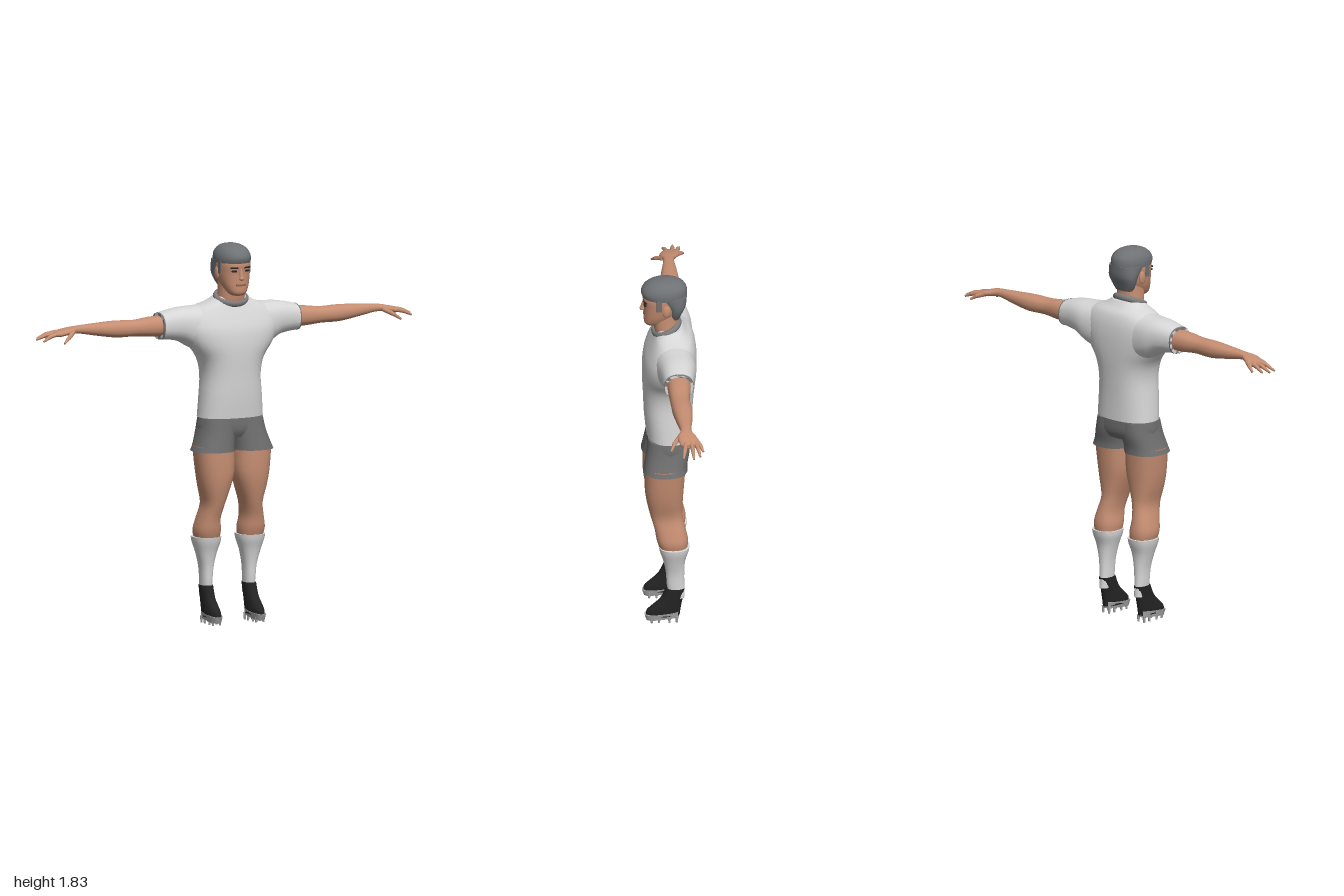
import * as THREE from 'three';

const paint = (name, color) => {
  const m = new THREE.MeshStandardMaterial({ color });
  m.name = name;
  return m;
};

// Catmull-Rom value between p1 and p2
const spline = (p0, p1, p2, p3, t) =>
  0.5 * (2 * p1 + (p2 - p0) * t + (2 * p0 - 5 * p1 + 4 * p2 - p3) * t * t + (3 * p1 - p0 - 3 * p2 + p3) * t * t * t);

// Loft through rows [t, aMin, aMax, bMax, bMin].
// Upright: t = y, a = x, b = z.  Sideways: t = x, a = z, b = y.
function loft(rows, { sideways = false, sides = 24, steps = 3, power = 0.85 } = {}) {
  const fine = [];
  for (let i = 0; i < rows.length - 1; i++) {
    const q = [rows[Math.max(i - 1, 0)], rows[i], rows[i + 1], rows[Math.min(i + 2, rows.length - 1)]];
    for (let s = 0; s < steps; s++) fine.push(rows[i].map((_, k) => spline(q[0][k], q[1][k], q[2][k], q[3][k], s / steps)));
  }
  fine.push(rows[rows.length - 1]);

  const pos = [], idx = [];
  const put = (t, a, b) => (sideways ? pos.push(t, b, a) : pos.push(a, t, b));
  const bend = (v) => Math.sign(v) * Math.abs(v) ** power;
  const ring = ([t, a0, a1, b1, b0]) => {
    for (let j = 0; j < sides; j++) {
      const u = (j / sides) * Math.PI * 2;
      put(t, (a0 + a1) / 2 + ((a1 - a0) / 2) * bend(Math.cos(u)), (b0 + b1) / 2 + ((b1 - b0) / 2) * bend(Math.sin(u)));
    }
  };
  fine.forEach(ring);
  for (let i = 0; i < fine.length - 1; i++) {
    for (let j = 0; j < sides; j++) {
      const a = i * sides + j, b = i * sides + ((j + 1) % sides);
      idx.push(a, a + sides, b, b, a + sides, b + sides);
    }
  }
  // flat end caps with their own corners
  [fine[0], fine[fine.length - 1]].forEach((row, end) => {
    const base = pos.length / 3;
    ring(row);
    put(row[0], (row[1] + row[2]) / 2, (row[3] + row[4]) / 2);
    for (let j = 0; j < sides; j++) {
      const a = base + j, b = base + ((j + 1) % sides), c = base + sides;
      end ? idx.push(a, c, b) : idx.push(a, b, c);
    }
  });
  const g = new THREE.BufferGeometry();
  g.setAttribute('position', new THREE.Float32BufferAttribute(pos, 3));
  g.setIndex(idx);
  g.computeVertexNormals();
  return g;
}

function mirrored(geo) {
  const g = geo.clone().scale(-1, 1, 1);
  const ix = g.index.array;
  for (let i = 0; i < ix.length; i += 3) [ix[i], ix[i + 1]] = [ix[i + 1], ix[i]];
  g.computeVertexNormals();
  return g;
}

// Tapered finger segment between two points
function segment(p, q, r0, r1) {
  const a = new THREE.Vector3(...p), b = new THREE.Vector3(...q), d = b.clone().sub(a);
  const g = new THREE.CylinderGeometry(r1, r0, d.length(), 8);
  g.applyQuaternion(new THREE.Quaternion().setFromUnitVectors(new THREE.Vector3(0, 1, 0), d.normalize()));
  const m = a.add(b).multiplyScalar(0.5);
  return g.translate(m.x, m.y, m.z);
}

export function createModel() {
  const model = new THREE.Group();
  model.name = 'footballer';
  const skin = paint('skin', 0xc68e72);
  const lip = paint('lip', 0x96604e);
  const shirt = paint('shirt white', 0xd6d6d6);
  const sock = paint('sock white', 0xdadada);
  const shorts = paint('shorts grey', 0x6e6e6e);
  const trim = paint('trim grey', 0x7c7c7c);
  const hair = paint('hair grey', 0x6f7275);
  const black = paint('boot black', 0x232323);
  const sole = paint('sole grey', 0xa6a6a6);

  const add = (name, geo, mat) => {
    const m = new THREE.Mesh(geo, mat);
    m.name = name;
    model.add(m);
  };
  const pair = (name, geo, mat) => {
    add('left ' + name, geo, mat);
    add('right ' + name, mirrored(geo), mat);
  };
  const sym = (rows) => rows.map(([y, w, f, b]) => [y, -w, w, f, b]);
  const ball = (x, y, z, sx, sy, sz) => new THREE.SphereGeometry(1, 14, 10).scale(sx, sy, sz).translate(x, y, z);

  // Shirt
  add('shirt body', loft(sym([
    [0.995, 0.163, 0.106, -0.112], [1.1, 0.154, 0.116, -0.115], [1.2, 0.147, 0.12, -0.122], [1.28, 0.165, 0.124, -0.13],
    [1.35, 0.215, 0.124, -0.135], [1.42, 0.245, 0.115, -0.136], [1.48, 0.235, 0.092, -0.13], [1.525, 0.185, 0.072, -0.115],
    [1.55, 0.12, 0.062, -0.09], [1.575, 0.08, 0.052, -0.07]]), { sides: 32 }), shirt);
  pair('sleeve', loft([
    [0.12, -0.12, 0.08, 1.54, 1.3], [0.2, -0.125, 0.065, 1.533, 1.33], [0.26, -0.118, 0.052, 1.53, 1.365],
    [0.32, -0.108, 0.042, 1.52, 1.378], [0.368, -0.102, 0.035, 1.508, 1.382]], { sideways: true }), shirt);
  pair('sleeve trim', loft([
    [0.362, -0.104, 0.037, 1.511, 1.38], [0.368, -0.103, 0.036, 1.509, 1.381]], { sideways: true, steps: 1 }), trim);
  add('collar', new THREE.TorusGeometry(0.076, 0.013, 10, 32).rotateX(Math.PI / 2).scale(1, 1.2, 0.87)
    .rotateX(0.42).translate(0, 1.567, 0.008), trim);

  // Arms and hands
  pair('arm', loft([
    [0.33, -0.092, 0.024, 1.497, 1.395], [0.42, -0.086, 0.021, 1.493, 1.399], [0.5, -0.078, 0.016, 1.484, 1.406],
    [0.6, -0.086, 0.01, 1.486, 1.406], [0.7, -0.08, -0.004, 1.481, 1.421], [0.8, -0.07, -0.018, 1.475, 1.438],
    [0.85, -0.092, -0.002, 1.467, 1.434], [0.895, -0.106, -0.012, 1.455, 1.425], [0.915, -0.098, -0.026, 1.448, 1.428]],
    { sideways: true, sides: 18 }), skin);
  const fingers = [
    [[0.87, 1.445, -0.09], [0.9, 1.434, -0.108], [0.93, 1.415, -0.121]],
    [[0.89, 1.445, -0.085], [0.94, 1.435, -0.097], [0.98, 1.418, -0.104]],
    [[0.89, 1.445, -0.065], [0.95, 1.435, -0.07], [1.0, 1.416, -0.073]],
    [[0.89, 1.445, -0.04], [0.945, 1.432, -0.032], [0.985, 1.412, -0.024]],
    [[0.83, 1.45, -0.018], [0.868, 1.428, 0.014], [0.902, 1.403, 0.032]]];
  for (const [a, b, c] of fingers) {
    pair('finger base', segment(a, b, 0.012, 0.01), skin);
    pair('finger knuckle', ball(...b, 0.01, 0.01, 0.01), skin);
    pair('finger tip', segment(b, c, 0.01, 0.005), skin);
  }

  // Shorts
  add('shorts seat', loft(sym([
    [0.9, 0.15, 0.085, -0.088], [0.94, 0.168, 0.102, -0.106], [1.005, 0.158, 0.1, -0.106]])), shorts);
  pair('shorts leg', loft([
    [0.835, 0.002, 0.205, 0.124, -0.088], [0.87, 0.0, 0.19, 0.118, -0.088], [0.93, -0.01, 0.17, 0.108, -0.1],
    [0.99, -0.02, 0.158, 0.1, -0.1]]), shorts);

  // Legs and socks
  pair('leg', loft([
    [0.4, 0.06, 0.17, 0.043, -0.085], [0.45, 0.055, 0.18, 0.06, -0.09], [0.51, 0.063, 0.167, 0.07, -0.078],
    [0.58, 0.051, 0.152, 0.09, -0.064], [0.66, 0.024, 0.17, 0.108, -0.066], [0.74, 0.004, 0.184, 0.117, -0.072],
    [0.86, 0.002, 0.196, 0.116, -0.08]]), skin);
  pair('sock', loft([
    [0.13, 0.091, 0.138, 0.0, -0.074], [0.2, 0.088, 0.142, 0.012, -0.072], [0.27, 0.083, 0.148, 0.017, -0.072],
    [0.34, 0.068, 0.166, 0.03, -0.077], [0.39, 0.052, 0.182, 0.046, -0.092], [0.418, 0.048, 0.187, 0.052, -0.097]]), sock);

  // Boots with studded soles
  pair('boot', loft([
    [0.035, 0.086, 0.146, 0.113, -0.05], [0.06, 0.085, 0.147, 0.109, -0.053], [0.085, 0.086, 0.146, 0.085, -0.057],
    [0.125, 0.087, 0.144, 0.043, -0.064], [0.182, 0.085, 0.145, 0.015, -0.074]], { sides: 18 }), black);
  pair('sole', loft([
    [0.014, 0.09, 0.143, 0.108, -0.048], [0.045, 0.084, 0.148, 0.116, -0.054]], { sides: 18, steps: 1, power: 0.7 })
    .rotateX(0.1).translate(0, 0.008, 0), sole);
  for (const z of [-0.035, 0.0, 0.05, 0.085])
    for (const x of [0.097, 0.135]) pair('stud', new THREE.CylinderGeometry(0.008, 0.005, 0.034, 8).translate(x, 0.017, z), sole);

  // Neck and head
  add('neck', loft(sym([
    [1.52, 0.072, 0.056, -0.06], [1.58, 0.065, 0.07, -0.05], [1.66, 0.062, 0.075, -0.05]])), skin);
  add('head', loft(sym([
    [1.585, 0.026, 0.103, 0.03], [1.6, 0.046, 0.115, 0.01], [1.63, 0.062, 0.116, -0.02], [1.66, 0.071, 0.116, -0.05],
    [1.7, 0.077, 0.117, -0.07], [1.74, 0.079, 0.121, -0.08], [1.78, 0.072, 0.1, -0.07]])), skin);
  pair('ear', ball(0.077, 1.69, 0.012, 0.009, 0.032, 0.02), skin);
  add('nose bridge', segment([0, 1.672, 0.122], [0, 1.715, 0.115], 0.012, 0.006), skin);
  add('nose tip', ball(0, 1.67, 0.123, 0.014, 0.01, 0.013), skin);
  add('mouth', new THREE.BoxGeometry(0.05, 0.009, 0.006).translate(0, 1.637, 0.115), lip);
  const plate = (w, h, y) => new THREE.BoxGeometry(w, h, 0.008).rotateY(0.25).translate(0.034, y, 0.1125);
  pair('eyebrow', plate(0.038, 0.007, 1.722), black);
  pair('eye', plate(0.024, 0.008, 1.706), black);

  // Hair: crown, back and sideburns
  add('hair crown', loft(sym([
    [1.742, 0.082, 0.123, -0.09], [1.765, 0.083, 0.13, -0.091], [1.79, 0.077, 0.12, -0.086],
    [1.812, 0.06, 0.095, -0.066], [1.824, 0.038, 0.062, -0.036], [1.83, 0.01, 0.02, 0.0]]), { sides: 28, power: 0.92 }), hair);
  add('hair back', loft(sym([
    [1.625, 0.05, -0.005, -0.056], [1.66, 0.07, 0.0, -0.07], [1.7, 0.081, 0.012, -0.086], [1.75, 0.083, 0.07, -0.091]])), hair);
  pair('sideburn', new THREE.BoxGeometry(0.008, 0.065, 0.026).translate(0.077, 1.722, 0.045), hair);

  return model;
}
